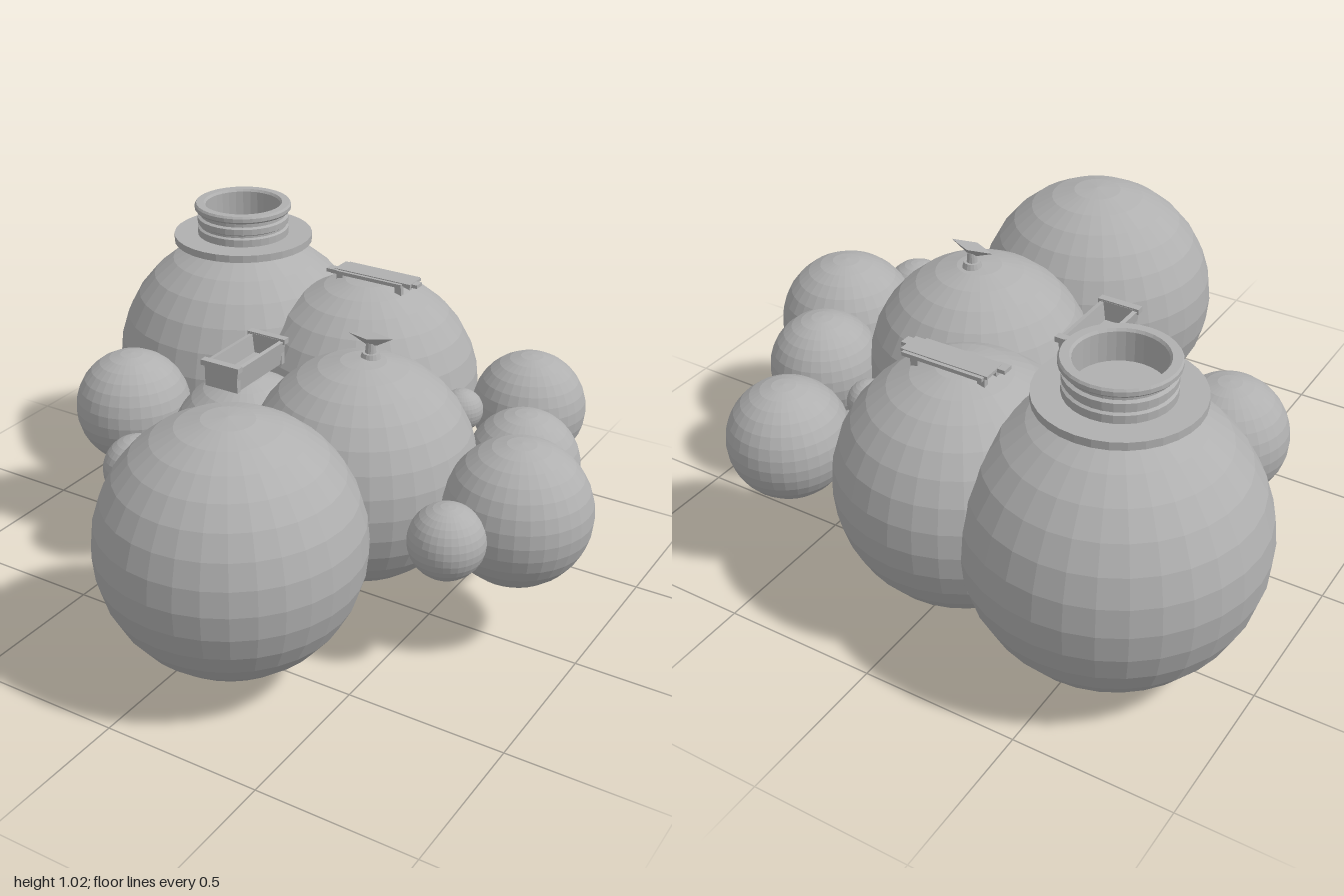
import * as THREE from 'three';

const grey = new THREE.MeshStandardMaterial({ color: 0xb0b0b0, flatShading: true });
grey.name = 'plain grey';

function add(parent, name, geometry, x = 0, y = 0, z = 0) {
  const mesh = new THREE.Mesh(geometry, grey);
  mesh.name = name;
  mesh.position.set(x, y, z);
  parent.add(mesh);
  return mesh;
}

function group(parent, name, x, y, z) {
  const g = new THREE.Group();
  g.name = name;
  g.position.set(x, y, z);
  parent.add(g);
  return g;
}

const box = (w, h, d) => new THREE.BoxGeometry(w, h, d);

// name, x, y, z, radius
const globes = [
  ['neckedGlobe', -0.555, 0.455, -0.54, 0.45],
  ['rearGlobe', -0.06, 0.46, -0.55, 0.39],
  ['centreGlobe', 0.235, 0.465, -0.01, 0.365],
  ['frontGlobe', 0.147, 0.463, 0.585, 0.4],
  ['troughGlobe', -0.2, 0.405, -0.02, 0.255],
  ['rightSideGlobe', -0.627, 0.463, 0.03, 0.193],
  ['rightSmallGlobe', -0.467, 0.355, 0.225, 0.115],
  ['leftSideGlobe', 0.77, 0.463, -0.01, 0.228],
  ['leftSmallGlobe', 0.672, 0.463, 0.255, 0.116],
  ['leftRearGlobe', 0.66, 0.463, -0.285, 0.18],
  ['leftBackGlobe', 0.503, 0.463, -0.67, 0.19],
  ['lowSmallGlobe', 0.447, 0.295, -0.425, 0.12],
  ['tinyGlobe', 0.365, 0.51, -0.443, 0.07],
];

export function createModel() {
  const model = new THREE.Group();
  model.name = 'globeCluster';

  for (const [name, x, y, z, r] of globes) {
    add(model, name, new THREE.SphereGeometry(r, 32, 16), x, y, z);
  }

  // Flanged open neck with ribbed collar
  const profile = [
    [0.04, 0.895], [0.24, 0.895], [0.24, 0.92], [0.158, 0.92],
    [0.158, 0.945], [0.15, 0.95], [0.15, 0.957], [0.158, 0.962],
    [0.158, 0.982], [0.148, 0.987], [0.148, 1.002],
    [0.162, 1.004], [0.167, 1.01], [0.167, 1.023], [0.162, 1.03],
    [0.136, 1.03], [0.13, 1.022], [0.13, 0.93], [0, 0.93],
  ].map(([r, y]) => new THREE.Vector2(r, y));
  add(model, 'neck', new THREE.LatheGeometry(profile, 32), -0.555, 0, -0.535);

  // Bench on the rear globe
  const bench = group(model, 'bench', -0.03, 0, -0.56);
  add(bench, 'benchSeat', box(0.29, 0.01, 0.075), 0, 0.862, 0);
  add(bench, 'benchBackRail', box(0.27, 0.012, 0.018), 0, 0.858, -0.04);
  add(bench, 'benchFrontRail', box(0.27, 0.012, 0.018), -0.02, 0.858, 0.04);
  add(bench, 'benchEndRight', box(0.04, 0.012, 0.035), -0.15, 0.86, 0.032);
  add(bench, 'benchEndLeft', box(0.04, 0.012, 0.035), 0.145, 0.86, 0.01);
  for (const x of [-0.125, 0.1]) {
    for (const z of [-0.03, 0.03]) {
      add(bench, 'benchLeg', box(0.025, 0.05, 0.018), x, 0.835, z);
    }
  }

  // Open trough on the small middle globe
  const trough = group(model, 'trough', -0.203, 0, -0.018);
  add(trough, 'troughFloor', box(0.11, 0.02, 0.27), 0, 0.675, 0);
  for (const side of [-1, 1]) {
    const wall = add(trough, 'troughWall', box(0.014, 0.08, 0.27), side * 0.054, 0.707, 0);
    wall.rotation.z = -side * 0.12;
    add(trough, 'troughEnd', box(0.122, 0.085, 0.018), 0, 0.708, side * 0.128);
    add(trough, 'troughEndCap', box(0.142, 0.018, 0.026), 0, 0.746, side * 0.133);
  }

  // Tilted pointed dish on the centre globe
  const dish = group(model, 'dish', 0.245, 0, -0.035);
  add(dish, 'dishBase', new THREE.CylinderGeometry(0.026, 0.032, 0.02, 16), 0, 0.833, 0);
  add(dish, 'dishStem', new THREE.CylinderGeometry(0.014, 0.018, 0.04, 12), 0, 0.856, 0);
  const bowl = add(dish, 'dishBowl', new THREE.CylinderGeometry(0.076, 0.02, 0.028, 4), 0, 0.882, 0);
  bowl.scale.z = 0.38;
  bowl.rotation.z = 0.08;

  return model;
}
